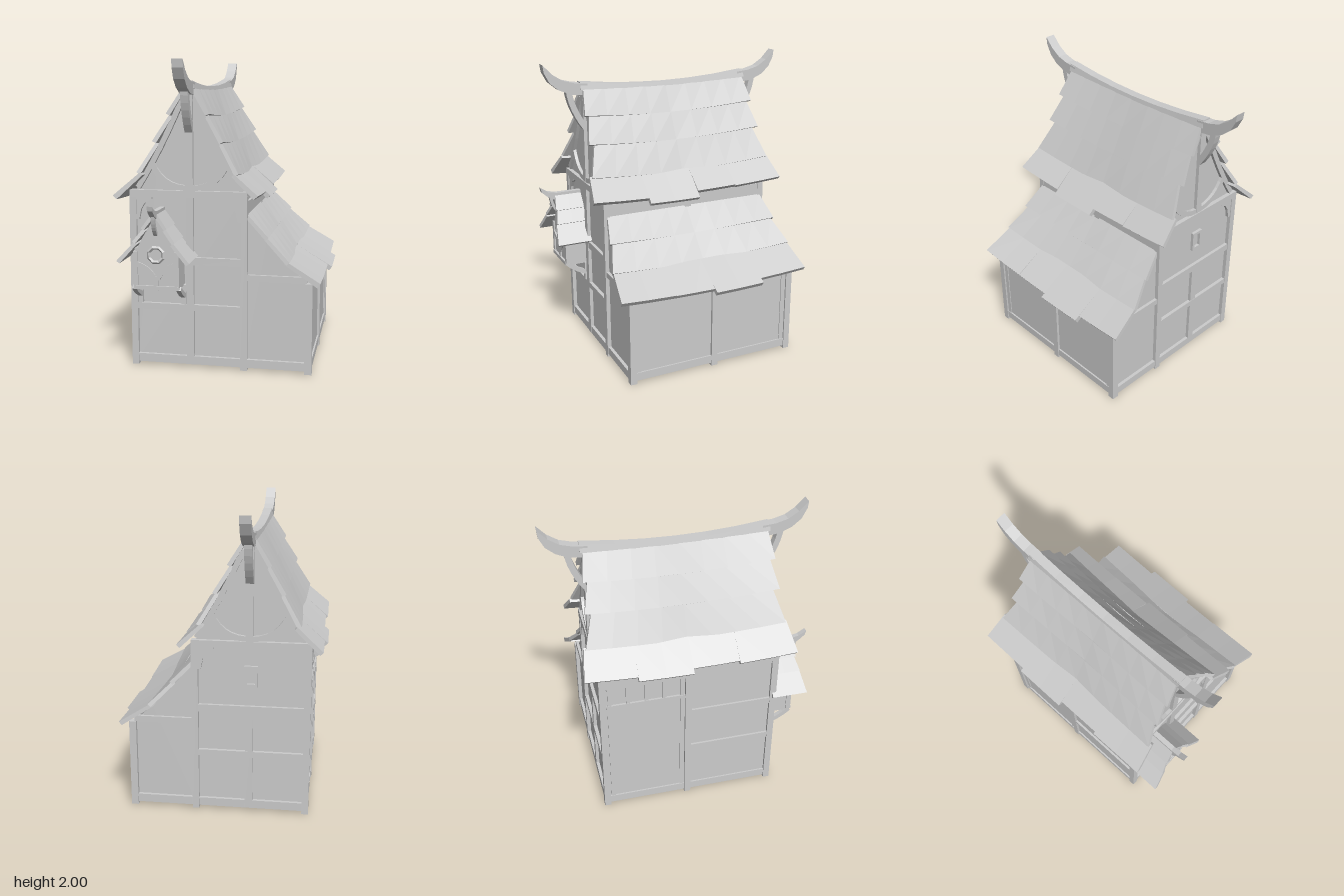
import * as THREE from 'three';

const mat = new THREE.MeshStandardMaterial({ color: 0xcccccc, flatShading: true, side: THREE.DoubleSide });
const RIDGE = -0.2;
const lerp = THREE.MathUtils.lerp;

function add(g, name, geo) {
  const m = new THREE.Mesh(geo, mat);
  m.name = name;
  g.add(m);
  return m;
}

// Box given by its lower and upper limits
function box(g, name, x0, x1, y0, y1, z0, z1) {
  const m = add(g, name, new THREE.BoxGeometry(x1 - x0, y1 - y0, z1 - z0));
  m.position.set((x0 + x1) / 2, (y0 + y1) / 2, (z0 + z1) / 2);
  return m;
}

// Upright flat board from an outline in x, y, centred on z
function board(g, name, pts, depth, z) {
  const shape = new THREE.Shape(pts.map(p => new THREE.Vector2(p[0], p[1])));
  const m = add(g, name, new THREE.ExtrudeGeometry(shape, { depth, bevelEnabled: false }));
  m.position.z = z - depth / 2;
  return m;
}

// Board whose outline lies in z, y, centred on x
function sideBoard(g, name, pts, width, x) {
  const m = board(g, name, pts, width, 0);
  m.rotation.y = -Math.PI / 2;
  m.position.set(x + width / 2, 0, 0);
  return m;
}

// Outline of a curved strip with constant width
function strip(a, c, b, w) {
  const curve = new THREE.QuadraticBezierCurve(new THREE.Vector2(...a), new THREE.Vector2(...c), new THREE.Vector2(...b));
  const left = [], right = [];
  for (let i = 0; i <= 6; i++) {
    const p = curve.getPoint(i / 6), t = curve.getTangent(i / 6);
    left.push([p.x - t.y * w / 2, p.y + t.x * w / 2]);
    right.unshift([p.x + t.y * w / 2, p.y - t.x * w / 2]);
  }
  return left.concat(right);
}

// Closed solid through four-cornered cross-sections
function loft(sections) {
  const pos = sections.flat(2), idx = [];
  const quad = (a, b, c, d) => idx.push(a, b, c, a, c, d);
  for (let i = 0; i < sections.length - 1; i++) {
    for (let j = 0; j < 4; j++) {
      const k = (j + 1) % 4;
      quad(i * 4 + j, i * 4 + k, i * 4 + 4 + k, i * 4 + 4 + j);
    }
  }
  const e = (sections.length - 1) * 4;
  quad(3, 2, 1, 0);
  quad(e, e + 1, e + 2, e + 3);
  // turn the faces outward if the sections run the other way
  const v = i => new THREE.Vector3().fromArray(pos, i * 3);
  let volume = 0;
  for (let i = 0; i < idx.length; i += 3) volume += v(idx[i]).dot(v(idx[i + 1]).cross(v(idx[i + 2])));
  if (volume < 0) idx.reverse();
  const geo = new THREE.BufferGeometry();
  geo.setAttribute('position', new THREE.Float32BufferAttribute(pos, 3));
  geo.setIndex(idx);
  const flat = geo.toNonIndexed();
  flat.computeVertexNormals();
  return flat;
}

// Sloping roof course from a (upper) to b (lower); za, zb are its z limits there
function course(g, name, cx, side, a, b, za, zb, { sag = 0.06, thick = 0.028, even = false } = {}) {
  const dx = b[0] - a[0], dy = b[1] - a[1], len = Math.hypot(dx, dy);
  const nx = -dy / len, ny = dx / len, n = even ? 2 : 8, sections = [];
  for (let i = 0; i <= n; i++) {
    const u = i / n, z0 = lerp(za[0], za[1], u), z1 = lerp(zb[0], zb[1], u);
    const t = even ? thick : thick * (0.25 + 0.75 * Math.abs(2 * u - 1));
    const at = (p, o, z) => [cx + side * (p[0] + nx * o), p[1] + ny * o + sag * z * z, z];
    sections.push([at(a, 0.012, z0), at(b, t, z1), at(b, 0, z1), at(a, -0.012, z0)]);
  }
  add(g, name, loft(sections));
}

// Row of separate eave boards: limits in z and the length of each
function eaves(g, name, cx, side, a, b, cuts, lengths, flare = 0.03) {
  lengths.forEach((l, i) => {
    const end = [lerp(a[0], b[0], l), lerp(a[1], b[1], l)];
    const z = [cuts[i], cuts[i + 1]];
    const lo = [z[0] - (i === 0 ? flare : 0), z[1] + (i === lengths.length - 1 ? flare : 0)];
    course(g, name, cx, side, a, end, z, lo, { sag: 0.05, thick: 0.03 + 0.005 * (i % 2), even: true });
  });
}

function walls() {
  const g = new THREE.Group();
  g.name = 'walls';
  const gable = [[-0.57, 0.02], [0.155, 0.02], [0.155, 1.15], [0.11, 1.26], [0.0, 1.45], [-0.09, 1.64], [-0.18, 1.82],
    [-0.22, 1.82], [-0.31, 1.64], [-0.4, 1.45], [-0.51, 1.26], [-0.57, 1.15]];
  const lean = [[0.155, 0.02], [0.57, 0.02], [0.57, 0.59], [0.44, 0.71], [0.3, 0.86], [0.155, 1.02]];
  for (const s of [1, -1]) {
    const zp = s * 0.587, bar = (name, x0, x1, y0, y1, d = 0.034) => box(g, name, x0, x1, y0, y1, zp - d / 2, zp + d / 2);
    board(g, 'gableWall', gable, 0.02, s * 0.57);
    board(g, 'leanToEndWall', lean, 0.02, s * 0.57);
    bar('gableBeam', -0.595, 0.175, 1.13, 1.175, 0.044);
    bar('gablePost', -0.225, -0.175, 1.17, 1.8);
    bar('lowerRail', -0.56, 0.14, 0.385, 0.425);
    bar('sill', -0.56, 0.56, 0.02, 0.075, 0.03);
    bar('leanToRail', 0.17, 0.56, 0.6, 0.64, 0.026);
    // curved braces in the gable and under its beam
    for (const m of [1, -1]) {
      const X = d => RIDGE + m * d;
      board(g, 'gableBrace', strip([X(0.02), 1.19], [X(0.19), 1.2], [X(0.25), 1.36], 0.035), 0.03, zp);
      board(g, 'gableRafter', strip([X(0.34), 1.19], [X(0.19), 1.42], [X(0.04), 1.76], 0.035), 0.03, zp);
      const c = -0.21 + m * 0.345, k = -0.21 + m * 0.24;
      board(g, 'cornerBrace', [[c, 1.13], [c, 0.98], [c - m * 0.02, 0.98], [c - m * 0.035, 1.05],
        [c - m * 0.06, 1.09], [k, 1.115], [k, 1.13]], 0.028, zp);
    }
  }
  // front and back timbers
  box(g, 'frontPost', -0.225, -0.175, 0.02, 1.14, 0.57, 0.604);
  box(g, 'frontRail', -0.175, 0.14, 0.69, 0.74, 0.57, 0.602);
  box(g, 'backRail', -0.56, 0.14, 0.69, 0.74, -0.602, -0.57);
  box(g, 'backPost', -0.225, -0.175, 0.02, 0.7, -0.602, -0.57);
  for (const x of [-0.245, -0.175]) box(g, 'backWindowFrame', x - 0.009, x + 0.009, 0.87, 1.01, -0.6, -0.57);
  for (const y of [0.88, 1.0]) box(g, 'backWindowFrame', -0.24, -0.18, y - 0.01, y + 0.01, -0.6, -0.57);

  // long walls and their posts
  box(g, 'leftWall', -0.58, -0.56, 0.02, 1.15, -0.57, 0.57);
  box(g, 'upperRightWall', 0.14, 0.16, 0.9, 1.15, -0.57, 0.57);
  box(g, 'leanToWall', 0.565, 0.58, 0.02, 0.6, -0.57, 0.57);
  for (const z of [-0.585, -0.01, 0.585]) {
    box(g, 'leftPost', -0.597, -0.553, 0, 1.15, z - 0.022, z + 0.022);
    box(g, 'leanToPost', 0.55, 0.597, 0, 0.6, z - 0.022, z + 0.022);
    if (z) box(g, 'mainPost', 0.133, 0.177, 0, 1.15, z - 0.022, z + 0.022);
  }
  for (const x of [-0.577, 0.577]) box(g, 'sideSill', x - 0.014, x + 0.014, 0.02, 0.075, -0.57, 0.57);
  for (const z of [-0.55, 0.55]) box(g, 'leanToFrame', 0.57, 0.586, 0.02, 0.58, z - 0.02, z + 0.02);
  for (const x of [-0.575, 0.155]) box(g, 'wallPlate', x - 0.02, x + 0.02, 1.03, 1.11, -0.57, 0.57);
  for (const y of [0.385, 0.69]) box(g, 'leftRail', -0.595, -0.56, y, y + 0.045, 0, 0.57);

  // barred window high in the left wall
  for (const y of [0.85, 1.01]) box(g, 'sideWindowRail', -0.595, -0.56, y, y + 0.025, -0.56, -0.03);
  for (let i = 0; i < 5; i++) {
    const z = -0.54 + i * 0.122;
    box(g, 'sideWindowBar', -0.592, -0.56, 0.86, 1.02, z - 0.012, z + 0.012);
  }
  for (const z of [-0.54, -0.05]) box(g, 'sidePanelFrame', -0.587, -0.56, 0.07, 0.86, z - 0.015, z + 0.015);
  return g;
}

function mainRoof() {
  const g = new THREE.Group();
  g.name = 'mainRoof';
  const p = [[0.015, 1.82], [0.115, 1.63], [0.205, 1.455], [0.305, 1.255], [0.46, 1.09]];
  const flare = [0.63, 0.64, 0.66];
  for (const side of [1, -1]) {
    for (let i = 0; i < 3; i++) course(g, 'roofCourse', RIDGE, side, p[i], p[i + 1], [-0.6, 0.6], [-flare[i], flare[i]]);
    const right = side > 0;
    eaves(g, 'eaveBoard', RIDGE, side, [0.295, 1.265], p[4], right ? [-0.67, -0.34, -0.05, 0.31, 0.67] : [-0.67, -0.36, 0, 0.31, 0.67],
      right ? [0.82, 0.8, 1, 0.84] : [0.92, 1.03, 0.88, 0.95]);
  }
  // sagging ridge beam with upswept ends
  const sections = [-0.62, -0.4, -0.2, 0, 0.2, 0.4, 0.62].map(z => {
    const y = 1.83 + 0.11 * z * z;
    return [[RIDGE - 0.03, y, z], [RIDGE + 0.03, y, z], [RIDGE + 0.042, y - 0.05, z], [RIDGE - 0.042, y - 0.05, z]];
  });
  add(g, 'ridgeBeam', loft(sections));
  for (const s of [1, -1]) {
    const horn = [[0.57, 1.86], [0.66, 1.868], [0.74, 1.89], [0.81, 1.935], [0.872, 2], [0.866, 1.95], [0.83, 1.88], [0.77, 1.83], [0.69, 1.795], [0.57, 1.78]];
    sideBoard(g, 'ridgeHorn', horn.map(([z, y]) => [s * z, y]), 0.07, RIDGE);
    sideBoard(g, 'hornBracket', strip([s * 0.7, 1.83], [s * 0.69, 1.7], [s * 0.59, 1.56], 0.04), 0.05, RIDGE);
  }
  return g;
}

function leanToRoof() {
  const g = new THREE.Group();
  g.name = 'leanToRoof';
  const p = [[0.16, 1.02], [0.295, 0.865], [0.435, 0.71], [0.65, 0.56]];
  course(g, 'roofCourse', 0, 1, p[0], p[1], [-0.58, 0.58], [-0.62, 0.62], { sag: 0.02 });
  course(g, 'roofCourse', 0, 1, p[1], p[2], [-0.6, 0.6], [-0.66, 0.66], { sag: 0.04 });
  eaves(g, 'eaveBoard', 0, 1, [0.425, 0.72], p[3], [-0.65, -0.33, 0.02, 0.3, 0.65], [0.9, 1.04, 0.92, 0.92]);
  return g;
}

function bayWindow() {
  const g = new THREE.Group();
  g.name = 'bayWindow';
  const cx = -0.385;
  board(g, 'bayFront', [[-0.135, 0.57], [0.135, 0.57], [0.135, 0.8], [0.07, 0.92], [0, 1.03], [-0.07, 0.92], [-0.135, 0.8]]
    .map(([x, y]) => [cx + x, y]), 0.02, 0.73);
  box(g, 'bayFloor', cx - 0.145, cx + 0.145, 0.555, 0.58, 0.58, 0.755);
  box(g, 'bayPost', cx - 0.016, cx + 0.016, 0.55, 0.64, 0.73, 0.75);
  box(g, 'wallPanel', cx - 0.135, cx + 0.135, 0.43, 0.555, 0.57, 0.59);
  const p = [[0.008, 1.04], [0.065, 0.945], [0.12, 0.86], [0.215, 0.735]];
  for (const s of [1, -1]) {
    const x = cx + s * 0.135;
    box(g, 'baySide', x - 0.01, x + 0.01, 0.57, 0.82, 0.58, 0.73);
    box(g, 'bayCorner', x - 0.015, x + 0.015, 0.56, 0.8, 0.715, 0.75);
    sideBoard(g, 'bayBracket', strip([0.735, 0.565], [0.69, 0.52], [0.59, 0.48], 0.03), 0.03, cx + s * 0.145);
    box(g, 'bracketPost', cx + s * 0.145 - 0.015, cx + s * 0.145 + 0.015, 0.43, 0.56, 0.57, 0.615);
    board(g, 'bayBrace', strip([cx + s * 0.01, 0.62], [cx + s * 0.03, 0.69], [cx + s * 0.13, 0.72], 0.03), 0.02, 0.74);
    course(g, 'bayRoofCourse', cx, s, p[0], p[1], [0.58, 0.77], [0.58, 0.785], { sag: 0, thick: 0.022, even: true });
    course(g, 'bayRoofCourse', cx, s, p[1], p[2], [0.58, 0.775], [0.58, 0.8], { sag: 0, thick: 0.022, even: true });
    course(g, 'bayEaveBoard', cx, s, p[2], p[3], [0.58, 0.8], [0.58, 0.825], { sag: 0, thick: 0.026, even: true });
  }
  // eight-sided window
  const ring = add(g, 'octagonFrame', new THREE.TorusGeometry(0.05, 0.012, 4, 8));
  ring.rotation.z = Math.PI / 8;
  ring.position.set(cx, 0.78, 0.745);
  sideBoard(g, 'bayRidge', [[0.58, 1.065], [0.76, 1.065], [0.82, 1.078], [0.872, 1.11], [0.865, 1.08], [0.82, 1.04], [0.77, 1.015], [0.58, 1.02]], 0.034, cx);
  sideBoard(g, 'bayRidgeBracket', strip([0.8, 1.04], [0.79, 0.96], [0.74, 0.91], 0.02), 0.025, cx);
  return g;
}

export function createModel() {
  const model = new THREE.Group();
  model.name = 'timberHouse';
  model.add(walls(), mainRoof(), leanToRoof(), bayWindow());
  return model;
}
